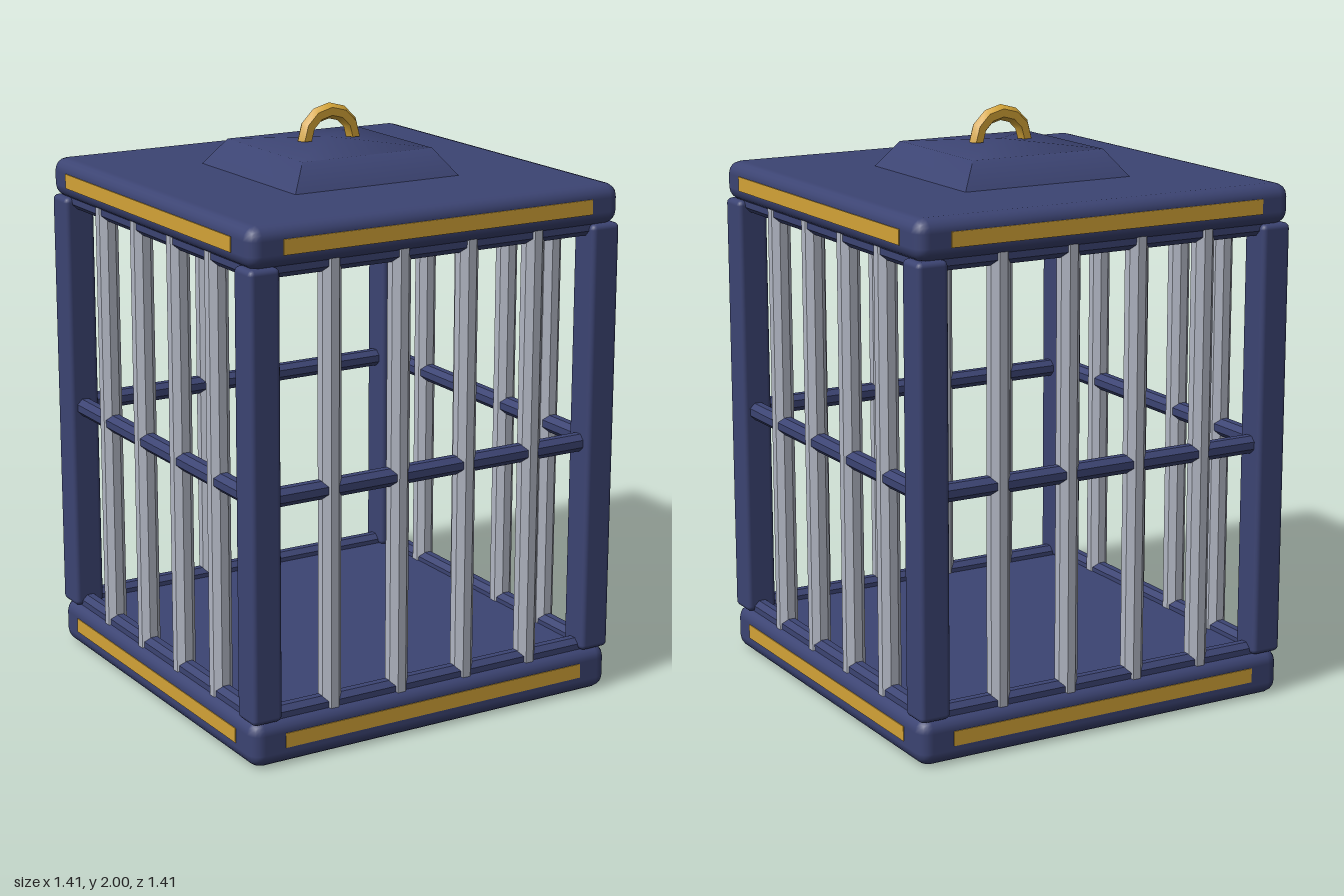
import * as THREE from 'three';
import { toCreasedNormals } from 'three/addons/utils/BufferGeometryUtils.js';
import { RoundedBoxGeometry } from 'three/addons/geometries/RoundedBoxGeometry.js';

const material = (name, color, flatShading = false) => {
  const m = new THREE.MeshStandardMaterial({ color, flatShading });
  m.name = name;
  return m;
};

export function createModel() {
  const navy = material('navy paint', 0x3c4473);
  const gold = material('gold', 0xd4a437);
  const steel = material('steel', 0xb2b7c4);

  const root = new THREE.Group();
  root.name = 'cage';
  const add = (parent, name, geometry, mat, x = 0, y = 0, z = 0) => {
    const mesh = new THREE.Mesh(geometry, mat);
    mesh.name = name;
    mesh.position.set(x, y, z);
    parent.add(mesh);
    return mesh;
  };

  // Eight-sided rod with a flat facing outward and crisp facets
  const rod = (apothem, length) => {
    const r = apothem / Math.cos(Math.PI / 8);
    const g = new THREE.CylinderGeometry(r, r, length, 8);
    g.rotateY(Math.PI / 8);
    return toCreasedNormals(g, 0.5);
  };

  const AXIS = 0.645; // distance of posts, bars and rails from the centre

  // Floor and roof slabs
  add(root, 'floor', new RoundedBoxGeometry(1.4, 0.157, 1.4, 2, 0.045), navy, 0, 0.0785);
  add(root, 'roof', new RoundedBoxGeometry(1.4, 0.136, 1.4, 2, 0.045), navy, 0, 1.705);

  // Corner posts
  const postGeometry = new RoundedBoxGeometry(0.11, 1.49, 0.11, 2, 0.018);
  for (const x of [-AXIS, AXIS]) {
    for (const z of [-AXIS, AXIS]) add(root, 'cornerPost', postGeometry, navy, x, 0.897, z);
  }

  // Four identical sides: bars, rails and trim strips
  const barGeometry = rod(0.035, 1.56);
  const railGeometry = rod(0.03, 2 * AXIS);
  railGeometry.rotateZ(Math.PI / 2);
  const trimGeometry = new THREE.BoxGeometry(1.165, 0.05, 0.008);
  for (let i = 0; i < 4; i++) {
    const side = new THREE.Group();
    side.name = 'cageSide';
    side.rotation.y = i * Math.PI / 2;
    root.add(side);
    for (let k = 0; k < 4; k++) {
      add(side, 'bar', barGeometry, steel, (k - 1.5) * 0.257, 0.897, AXIS);
    }
    for (const y of [0.16, 0.89, 1.632]) add(side, 'rail', railGeometry, navy, 0, y, AXIS);
    for (const y of [0.085, 1.705]) add(side, 'trimStrip', trimGeometry, gold, 0, y, 0.699);
  }

  // Square roof cap with a shallow peak
  const profile = [[0.32, 1.765], [0.25, 1.862], [0, 1.885]]
    .map(([half, y]) => new THREE.Vector2(half * Math.SQRT2, y));
  profile[2].x = 0;
  const cap = new THREE.LatheGeometry(profile, 4, Math.PI / 4);
  // Profile runs upward, so the faces point outward
  add(root, 'roofCap', toCreasedNormals(cap, 1.0), navy);

  // Carrying loop
  const loop = new THREE.TorusGeometry(0.094, 0.027, 6, 6, Math.PI);
  add(root, 'hangingLoop', toCreasedNormals(loop, 0.7), gold, 0, 1.879);
  return root;
}
